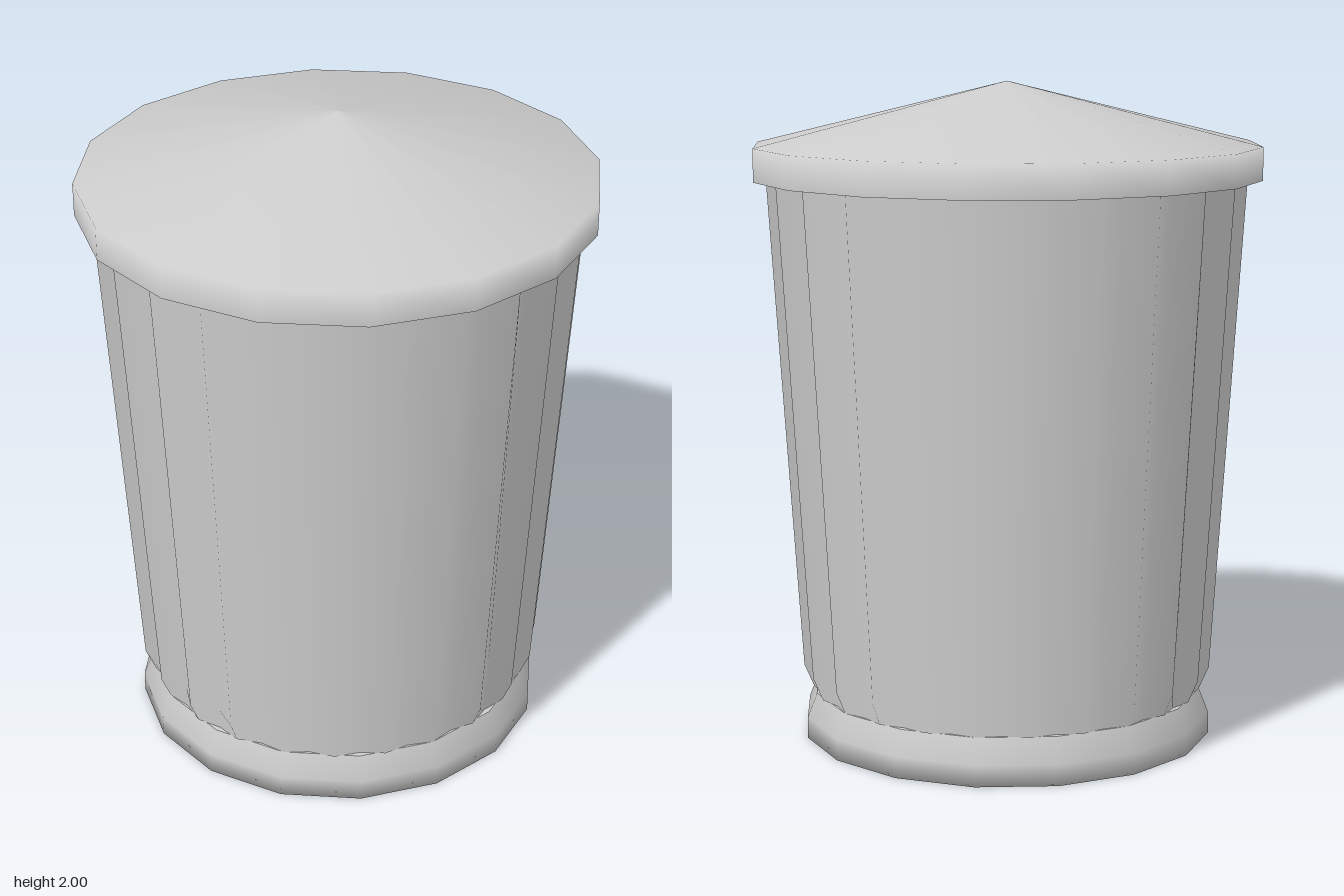
import * as THREE from 'three';

const grey = new THREE.MeshStandardMaterial({ color: 0xcccccc });

// Revolve a [radius, height] profile, listed from bottom to top
function turned(name, profile, sides) {
  const points = profile.map(([r, y]) => new THREE.Vector2(r, y));
  const mesh = new THREE.Mesh(new THREE.LatheGeometry(points, sides), grey);
  mesh.name = name;
  return mesh;
}

// Corrugated wall: ridges alternate with valleys, shaded as one smooth cone
function corrugatedBody() {
  const ridges = 24;
  const profile = [[0.6, 0.14], [0.63, 0.21], [0.725, 1.72]];
  const valley = [0.582, 0.586, 0.668];
  const body = turned('corrugatedBody', profile, ridges * 2);
  const { position, normal } = body.geometry.attributes;
  for (let i = 0; i < position.count; i++) {
    const row = i % profile.length;
    const column = Math.floor(i / profile.length);
    const angle = (column / (ridges * 2)) * Math.PI * 2;
    const r = column % 2 ? valley[row] : profile[row][0];
    position.setXYZ(i, r * Math.sin(angle), profile[row][1], r * Math.cos(angle));
    normal.setXYZ(i, Math.sin(angle), -0.06, Math.cos(angle));
  }
  body.geometry.normalizeNormals();
  return body;
}

export function createModel() {
  const model = new THREE.Group();
  model.name = 'trashCan';

  // Foot ring with closed underside and a narrow ledge under the body
  model.add(turned('base', [[0, 0], [0.63, 0], [0.63, 0.065], [0.6, 0.14]], 16));
  model.add(turned('baseLedge', [[0.6, 0.14], [0.5, 0.14]], 16));

  model.add(corrugatedBody());

  // Conical lid with an upright rim
  model.add(turned('lidUnderside', [[0.6, 1.71], [0.77, 1.71]], 16));
  model.add(turned('lid', [[0.77, 1.71], [0.77, 1.81], [0, 2]], 16));

  return model;
}
